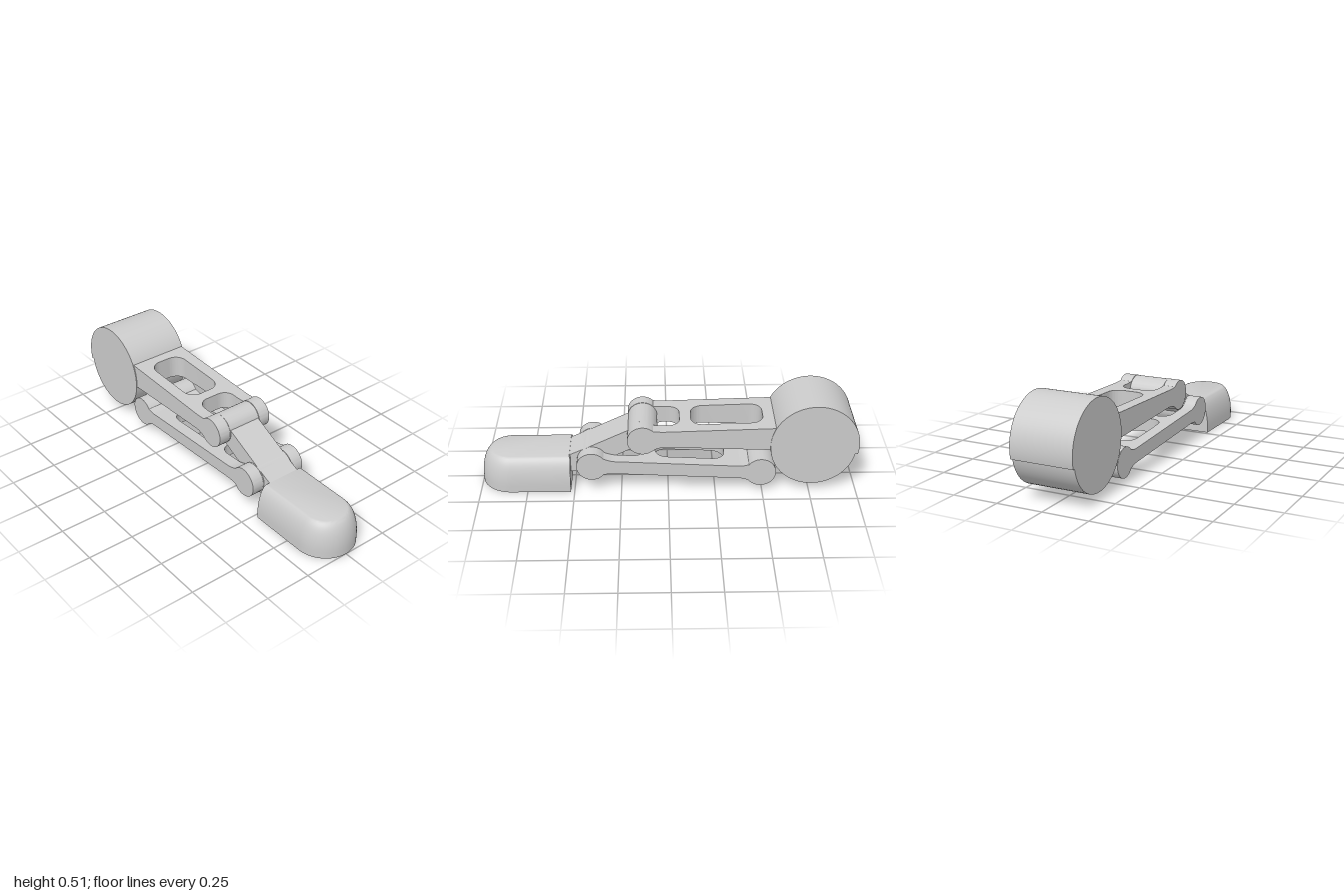
import * as THREE from 'three';
import { toCreasedNormals } from 'three/addons/utils/BufferGeometryUtils.js';

const material = new THREE.MeshStandardMaterial({ color: 0xcccccc });
const W = 0.165; // half width of the arms
const GAP = 0.098; // half width of slots and forks

function add(parent, name, geometry) {
  const mesh = new THREE.Mesh(toCreasedNormals(geometry, 0.6), material);
  mesh.name = name;
  parent.add(mesh);
}

// side profile (x, y) extruded from z0 to z1
function slab(shape, z0, z1) {
  return new THREE.ExtrudeGeometry(shape, { depth: z1 - z0, bevelEnabled: false, curveSegments: 32 })
    .translate(0, 0, z0);
}

function pin(x, y, r, halfWidth) {
  return new THREE.CylinderGeometry(r, r, halfWidth * 2, 64).rotateX(Math.PI / 2).translate(x, y, 0);
}

function slot(x0, x1, r) {
  const p = new THREE.Path();
  p.moveTo(x0 + r, -GAP).lineTo(x1 - r, -GAP).absarc(x1 - r, -GAP + r, r, -Math.PI / 2, 0, false);
  p.absarc(x1 - r, GAP - r, r, 0, Math.PI / 2, false);
  p.absarc(x0 + r, GAP - r, r, Math.PI / 2, Math.PI, false);
  p.absarc(x0 + r, -GAP + r, r, Math.PI, Math.PI * 1.5, false);
  return p;
}

// straight arm: plan outline with a fork notch and a slot, its thickness following two slopes
function armBody(x0, x1, notch, hole, top, bottom) {
  const r = 0.06;
  const s = new THREE.Shape();
  s.moveTo(x0, -W).lineTo(x1, -W).lineTo(x1, -GAP).lineTo(notch + r, -GAP);
  s.absarc(notch + r, -GAP + r, r, -Math.PI / 2, -Math.PI, true);
  s.absarc(notch + r, GAP - r, r, Math.PI, Math.PI / 2, true);
  s.lineTo(x1, GAP).lineTo(x1, W).lineTo(x0, W);
  s.holes.push(hole);
  const g = new THREE.ExtrudeGeometry(s, { depth: 1, bevelEnabled: false, curveSegments: 12 }).rotateX(-Math.PI / 2);
  const p = g.attributes.position;
  for (let i = 0; i < p.count; i++) {
    const x = p.getX(i);
    p.setY(i, THREE.MathUtils.lerp(bottom(x), top(x), p.getY(i)));
  }
  return g;
}

// round eye blended into the arm end at x; side = +1 when the eye lies right of the arm
function eyeShape(cx, cy, r, x, top, bottom, side, open) {
  const at = (a) => [cx - side * r * Math.cos(a), cy + r * Math.sin(a)];
  const [px, py] = at(open), [qx, qy] = at(-open);
  const mid = px - side * 0.035;
  const s = new THREE.Shape();
  s.moveTo(x, top(x)).quadraticCurveTo(mid, top(mid), px, py);
  for (let i = 1; i <= 48; i++) s.lineTo(...at(open + (i / 48) * (2 * Math.PI - 2 * open)));
  s.quadraticCurveTo(mid, bottom(mid), x, bottom(x));
  return s;
}

const line = (xa, ya, xb, yb) => (x) => ya + ((x - xa) / (xb - xa)) * (yb - ya);

// foot block: stacked plan outlines, inset towards the top
function footGeometry() {
  const levels = [[0, 0], [0.035, 0]];
  for (let i = 1; i <= 10; i++) {
    const a = (i / 10) * 1.2;
    levels.push([0.035 + 0.147 * Math.sin(a) / Math.sin(1.2), 0.042 * (1 - Math.cos(a)) / (1 - Math.cos(1.2))]);
  }
  levels.push([0.187, 0.047], [0.19, 0.056]);
  const arc = 32, n = arc + 3, pos = [], idx = [];
  for (const [y, inset] of levels) {
    const w = 0.163 - inset, back = 0.52 + (y > 0.185 ? (y - 0.185) : 0);
    pos.push(back, y, w);
    for (let i = 0; i <= arc; i++) {
      const a = Math.PI / 2 - (i / arc) * Math.PI;
      pos.push(0.837 + w * Math.cos(a), y, w * Math.sin(a));
    }
    pos.push(back, y, -w);
  }
  for (let l = 0; l < levels.length - 1; l++)
    for (let i = 0; i < n; i++) {
      const a = l * n + i, b = l * n + ((i + 1) % n);
      idx.push(a, b, b + n, a, b + n, a + n);
    }
  const t = (levels.length - 1) * n;
  for (let i = 1; i < n - 1; i++) idx.push(0, i + 1, i, t, t + i, t + i + 1);
  const g = new THREE.BufferGeometry();
  g.setAttribute('position', new THREE.Float32BufferAttribute(pos, 3));
  g.setIndex(idx);
  return g;
}

export function createModel() {
  const model = new THREE.Group();
  model.name = 'foldingFingerLinkage';

  // drum with a slightly wider upper shell
  const drum = new THREE.Group();
  drum.name = 'baseDrum';
  model.add(drum);
  add(drum, 'drumCore', pin(-0.76, 0.272, 0.225, 0.168));
  const shell = new THREE.Shape();
  shell.absarc(-0.767, 0.28, 0.233, -0.12, Math.PI + 0.225, false);
  add(drum, 'drumShell', slab(shell, -0.169, 0.169));

  // upper arm
  const upper = new THREE.Group();
  upper.name = 'upperArm';
  model.add(upper);
  const uTop = line(-0.55, 0.385, 0.05, 0.368), uBottom = line(-0.52, 0.256, 0, 0.276);
  add(upper, 'upperArmBody', armBody(-0.68, 0.01, -0.06, slot(-0.5, -0.12, 0.065), uTop, uBottom));
  const uEye = eyeShape(0.135, 0.315, 0.08, 0.01, uTop, uBottom, 1, 0.8);

  // lower arm
  const lower = new THREE.Group();
  lower.name = 'lowerArm';
  model.add(lower);
  const lTop = line(-0.38, 0.155, 0.28, 0.19), lBottom = line(-0.38, 0.08, 0.28, 0.114);
  add(lower, 'lowerArmBody', armBody(-0.38, 0.28, 0.13, slot(-0.3, 0.07, 0.065), lTop, lBottom));
  const lEye = eyeShape(0.405, 0.158, 0.08, 0.28, lTop, lBottom, 1, 0.65);
  add(lower, 'lowerArmRearEye', slab(eyeShape(-0.49, 0.115, 0.08, -0.38, lTop, lBottom, -1, 0.65), -W, W));

  // fork prongs on both sides
  for (const [z0, z1] of [[GAP, W], [-W, -GAP]]) {
    add(upper, 'upperForkProng', slab(uEye, z0, z1));
    add(lower, 'lowerForkProng', slab(lEye, z0, z1));
  }

  // link between the forks, leading to the foot
  const link = new THREE.Group();
  link.name = 'tipLink';
  model.add(link);
  add(link, 'upperLinkPin', pin(0.135, 0.315, 0.079, 0.096));
  add(link, 'lowerLinkPin', pin(0.405, 0.158, 0.079, 0.096));
  const bar = new THREE.Shape([
    [0.135, 0.375], [0.2, 0.343], [0.43, 0.232], [0.53, 0.187], [0.53, 0.085],
    [0.405, 0.085], [0.35, 0.148], [0.15, 0.247],
  ].map(([x, y]) => new THREE.Vector2(x, y)));
  add(link, 'linkBar', slab(bar, -0.092, 0.092));

  add(model, 'foot', footGeometry());
  return model;
}
